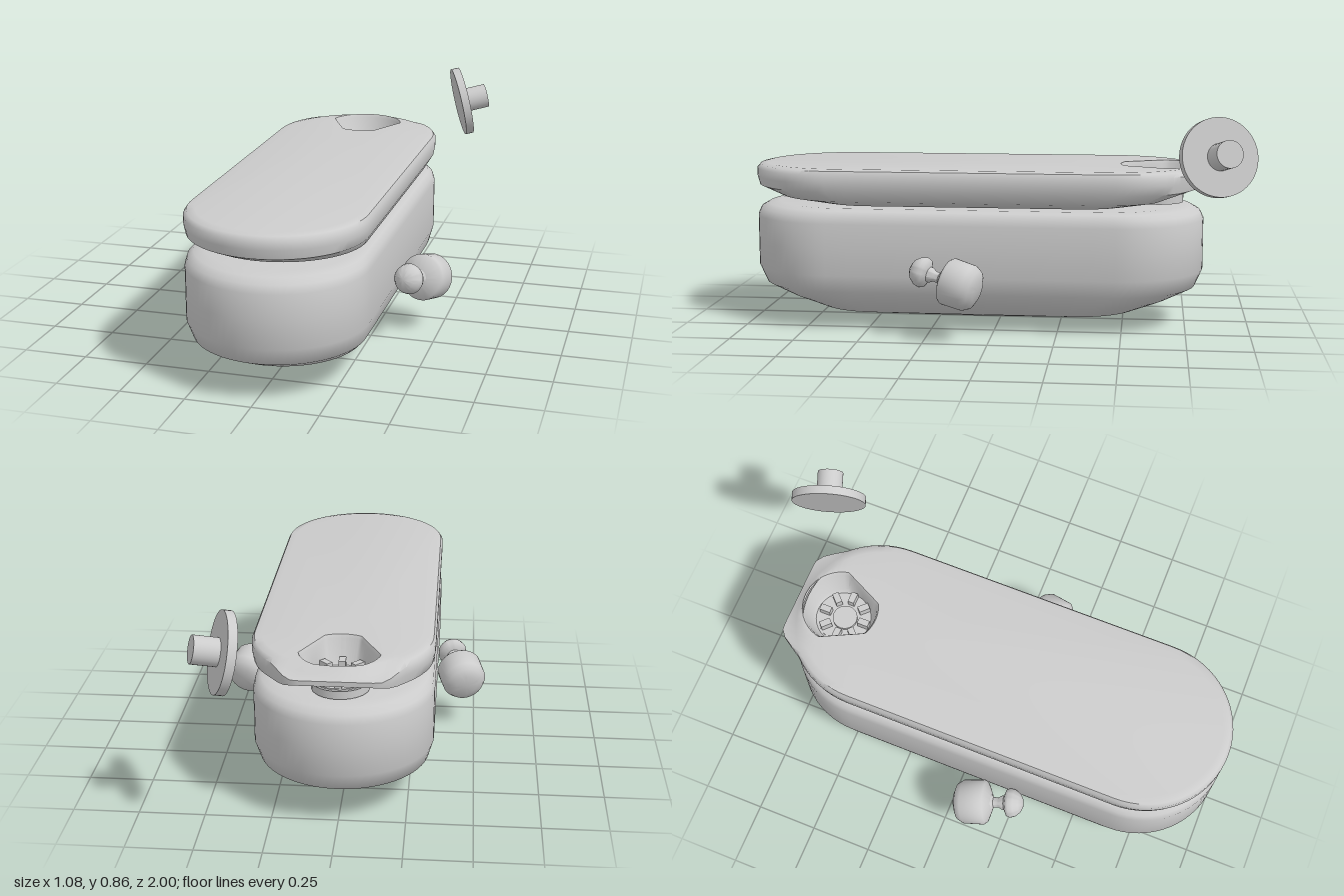
import * as THREE from 'three';
import { toCreasedNormals } from 'three/addons/utils/BufferGeometryUtils.js';

const grey = new THREE.MeshStandardMaterial({ color: 0xcccccc });
const CZ = 0.09, R = 0.343, HALF = 0.567; // plan of the long rounded outline

function mesh(name, geometry, parent) {
  const m = new THREE.Mesh(geometry, grey);
  m.name = name;
  parent.add(m);
  return m;
}

// Rounded-end outline around (0, 0), counter-clockwise seen from above
function outline() {
  const pts = [], arc = 32, side = 14;
  for (const s of [1, -1]) {
    for (let i = 0; i <= arc; i++) {
      const a = -Math.PI / 2 + (Math.PI * i) / arc;
      pts.push([s * R * Math.sin(a), s * (HALF + R * Math.cos(a))]);
    }
    for (let i = 1; i < side; i++) pts.push([s * R, s * HALF * (1 - (2 * i) / side)]);
  }
  return pts;
}

// Skin over rings listed from the bottom up; both ends close to a centre point
function loft(rings, first, last, crease) {
  const n = rings[0].length, pos = [...first], idx = [];
  rings.forEach((r) => r.forEach((p) => pos.push(...p)));
  pos.push(...last);
  const end = 1 + rings.length * n;
  for (let i = 0; i < n; i++) {
    const k = (i + 1) % n;
    idx.push(0, 1 + k, 1 + i);
    for (let j = 0; j < rings.length - 1; j++) {
      const a = 1 + j * n + i, b = 1 + j * n + k;
      idx.push(a, b, b + n, a, b + n, a + n);
    }
    idx.push(end - n + i, end - n + k, end);
  }
  const g = new THREE.BufferGeometry();
  g.setAttribute('position', new THREE.Float32BufferAttribute(pos, 3));
  g.setIndex(idx);
  return toCreasedNormals(g, crease);
}

// One scaled copy of the outline at height y
const ringAt = ([y, sx, sz]) => outline().map(([x, z]) => [x * sx, y, CZ + z * sz]);

// Distance from the bowl centre to its rim: round behind, narrowing to the front
const BZ = -0.64;
function rimRadius(a) {
  const s = Math.abs(Math.sin(a)), c = Math.cos(a), side = 0.9 * s + 0.44 * c;
  let r = 0.153;
  if (side > 0) r = Math.min(r, 0.122 / side);
  if (c > 0) r = Math.min(r, 0.165 / c);
  return r;
}

function lidGeometry() {
  const rings = [
    [0.492, 0.76, 0.73], [0.515, 0.92, 0.89], [0.555, 0.985, 0.99],
    [0.59, 1, 1], [0.622, 1, 1], [0.637, 0.975, 0.985], [0.643, 0.9, 0.955],
  ].map(ringAt);
  // Back edge: pulled out into a blunt lip, raised underneath and drooping on top
  rings.forEach((ring, j) => ring.forEach((p) => {
    const back = THREE.MathUtils.smoothstep(-p[2], 0.5, 0.8);
    const mid = 1 - THREE.MathUtils.smoothstep(Math.abs(p[0]), 0.15, 0.25);
    if (j < 3) p[1] += 0.03 * back * mid;
    if (j > 3 && j < 6) p[1] -= 0.018 * back * mid;
    if (j > 1 && j < 5) p[2] += (-0.828 - p[2]) * back * mid;
  }));
  // Bowl sunk through the top
  const angles = rings[6].map((p) => Math.atan2(p[0], p[2] - BZ));
  for (const [y, s, round] of [[0.643, 1, 0], [0.63, 0.95, 0], [0.545, 0.92, 0.6], [0.53, 0.9, 1]]) {
    rings.push(angles.map((a) => {
      const r = THREE.MathUtils.lerp(rimRadius(a) * s, 0.11, round);
      return [r * Math.sin(a), y, BZ + r * Math.cos(a)];
    }));
  }
  return loft(rings, [0, 0.492, CZ], [0, 0.53, BZ], 0.75);
}

function lathe(points, crease) {
  const g = new THREE.LatheGeometry(points.map(([r, y]) => new THREE.Vector2(r, y)), 40);
  return toCreasedNormals(g, crease);
}

// Turn a part's +y axis to a direction
function aim(object, x, y, z) {
  object.quaternion.setFromUnitVectors(new THREE.Vector3(0, 1, 0), new THREE.Vector3(x, y, z).normalize());
}

export function createModel() {
  const model = new THREE.Group();
  model.name = 'model';

  // Deep body with a shallow pointed underside
  const bodyRings = [
    [0.063, 0.72, 0.72], [0.11, 0.85, 0.86], [0.157, 0.95, 0.967], [0.225, 1, 1], [0.33, 1, 1],
    [0.43, 1, 1], [0.46, 0.98, 0.985], [0.478, 0.93, 0.95], [0.485, 0.84, 0.9],
  ].map(ringAt);
  mesh('body', loft(bodyRings, [0, 0.003, CZ], [0, 0.485, CZ], 0.75), model);

  mesh('lid', lidGeometry(), model);

  // Grate in the bowl: plate, hub and radial teeth
  const grate = new THREE.Group();
  grate.name = 'grate';
  grate.position.set(0, 0, BZ + 0.01);
  model.add(grate);
  mesh('gratePlate', new THREE.CylinderGeometry(0.108, 0.108, 0.042, 32), grate).position.y = 0.514;
  mesh('grateHub', new THREE.CylinderGeometry(0.05, 0.05, 0.012, 24), grate).position.y = 0.54;
  for (let i = 0; i < 8; i++) {
    const a = (i * Math.PI) / 4;
    const tooth = mesh('grateTooth', new THREE.BoxGeometry(0.026, 0.035, 0.045), grate);
    tooth.position.set(0.083 * Math.sin(a), 0.55, 0.083 * Math.cos(a));
    tooth.rotation.y = a;
  }

  // Loose round plug with a short stem, floating beside the back
  const plug = new THREE.Group();
  plug.name = 'plug';
  plug.position.set(0.392, 0.715, -0.857);
  aim(plug, 0.92, 0.22, -0.32);
  mesh('plugDisc', new THREE.CylinderGeometry(0.15, 0.15, 0.034, 48), plug);
  mesh('plugStem', new THREE.CylinderGeometry(0.052, 0.052, 0.11, 32), plug).position.y = 0.057;
  model.add(plug);

  // Side knobs: rounded barrel, thin neck and domed button
  for (const s of [1, -1]) {
    const knob = new THREE.Group();
    knob.name = s > 0 ? 'leftKnob' : 'rightKnob';
    knob.position.set(s * 0.444, 0.222, 0.112);
    aim(knob, s * -0.27, 0.24, 0.93);
    mesh('knobBarrel', lathe([[0, -0.08], [0.045, -0.078], [0.075, -0.065], [0.09, -0.04],
      [0.092, 0.045], [0.085, 0.055], [0.04, 0.075], [0, 0.078]], 0.7), knob);
    mesh('knobNeck', lathe([[0.038, 0.07], [0.022, 0.085], [0.02, 0.105], [0.03, 0.122],
      [0.03, 0.14]], 0.7), knob);
    mesh('knobButton', lathe([[0, 0.128], [0.03, 0.13], [0.055, 0.142], [0.06, 0.155],
      [0.055, 0.175], [0.04, 0.195], [0.02, 0.206], [0, 0.209]], 0.9), knob);
    model.add(knob);
  }
  return model;
}
